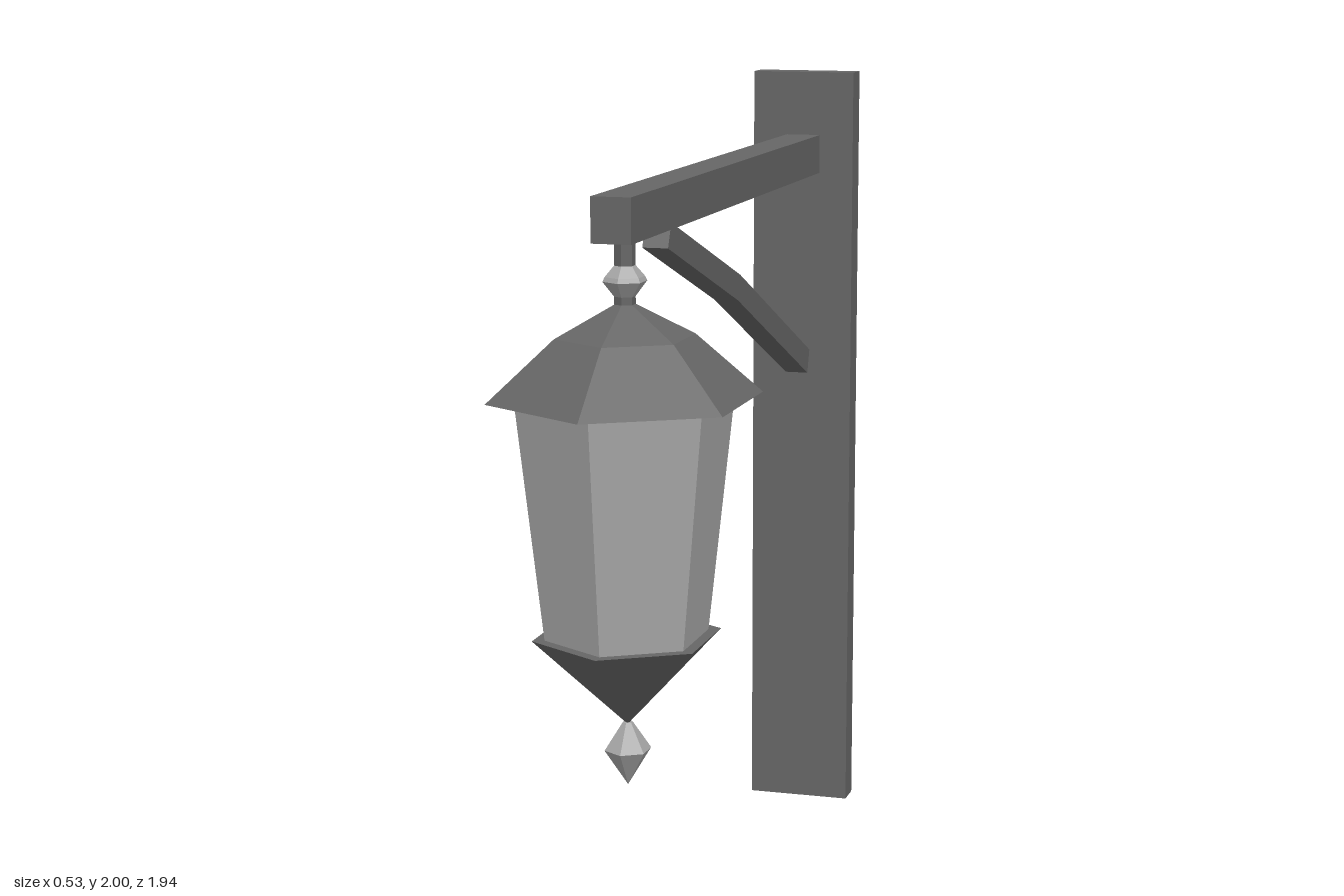
import * as THREE from 'three';

const LAMP_Z = 0.65;

// Six-sided faceted solid turned from [radius, y] points, listed bottom to top
function hexTurned(name, points, material) {
  const profile = points.map(([r, y]) => new THREE.Vector2(r, y));
  const geometry = new THREE.LatheGeometry(profile, 6).toNonIndexed();
  geometry.scale(0.94, 1, 1);
  geometry.computeVertexNormals();
  const mesh = new THREE.Mesh(geometry, material);
  mesh.name = name;
  mesh.position.z = LAMP_Z;
  return mesh;
}

// Box given by its minimum and maximum corners
function boxBetween(name, min, max, material) {
  const size = max.map((v, i) => v - min[i]);
  const mesh = new THREE.Mesh(new THREE.BoxGeometry(...size), material);
  mesh.name = name;
  mesh.position.set(...max.map((v, i) => (v + min[i]) / 2));
  return mesh;
}

export function createModel() {
  const iron = new THREE.MeshStandardMaterial({ color: 0x666666 });
  iron.name = 'dark iron';
  const glass = new THREE.MeshStandardMaterial({ color: 0xa8a8a8 });
  glass.name = 'pale glass';

  const model = new THREE.Group();
  model.name = 'wallLantern';

  // Back plate and horizontal arm
  model.add(
    boxBetween('backPlate', [-0.135, 0, -0.97], [0.135, 2, -0.9], iron),
    boxBetween('arm', [-0.045, 1.735, -0.9], [0.045, 1.835, 0.745], iron)
  );

  // Slightly bent brace below the arm, drawn in side profile (z, y)
  const side = [[0.43, 1.69], [0.405, 1.745], [-0.17, 1.555], [-0.865, 1.265], [-0.845, 1.205], [-0.15, 1.495]];
  const shape = new THREE.Shape(side.map(([z, y]) => new THREE.Vector2(z, y)));
  const braceGeometry = new THREE.ExtrudeGeometry(shape, { depth: 0.06, bevelEnabled: false });
  braceGeometry.translate(0, 0, -0.03);
  braceGeometry.rotateY(-Math.PI / 2);
  const brace = new THREE.Mesh(braceGeometry, iron);
  brace.name = 'brace';
  model.add(brace);

  // Hanging lantern, from hanger down to the tip
  const lantern = new THREE.Group();
  lantern.name = 'lantern';
  lantern.add(
    hexTurned('hanger', [[0.025, 1.58], [0.025, 1.74]], iron),
    hexTurned('hangerBead', [[0.015, 1.6], [0.052, 1.645], [0.047, 1.655], [0.015, 1.69]], glass),
    hexTurned('roof', [[0, 1.39], [0.325, 1.39], [0.165, 1.525], [0.025, 1.595], [0, 1.6]], iron),
    hexTurned('glassPanes', [[0.195, 0.86], [0.258, 1.39]], glass),
    hexTurned('bottomCap', [[0, 0.655], [0.225, 0.86], [0, 0.86]], iron),
    hexTurned('tip', [[0, 0.515], [0.056, 0.597], [0.012, 0.66], [0, 0.66]], glass)
  );
  model.add(lantern);

  return model;
}
